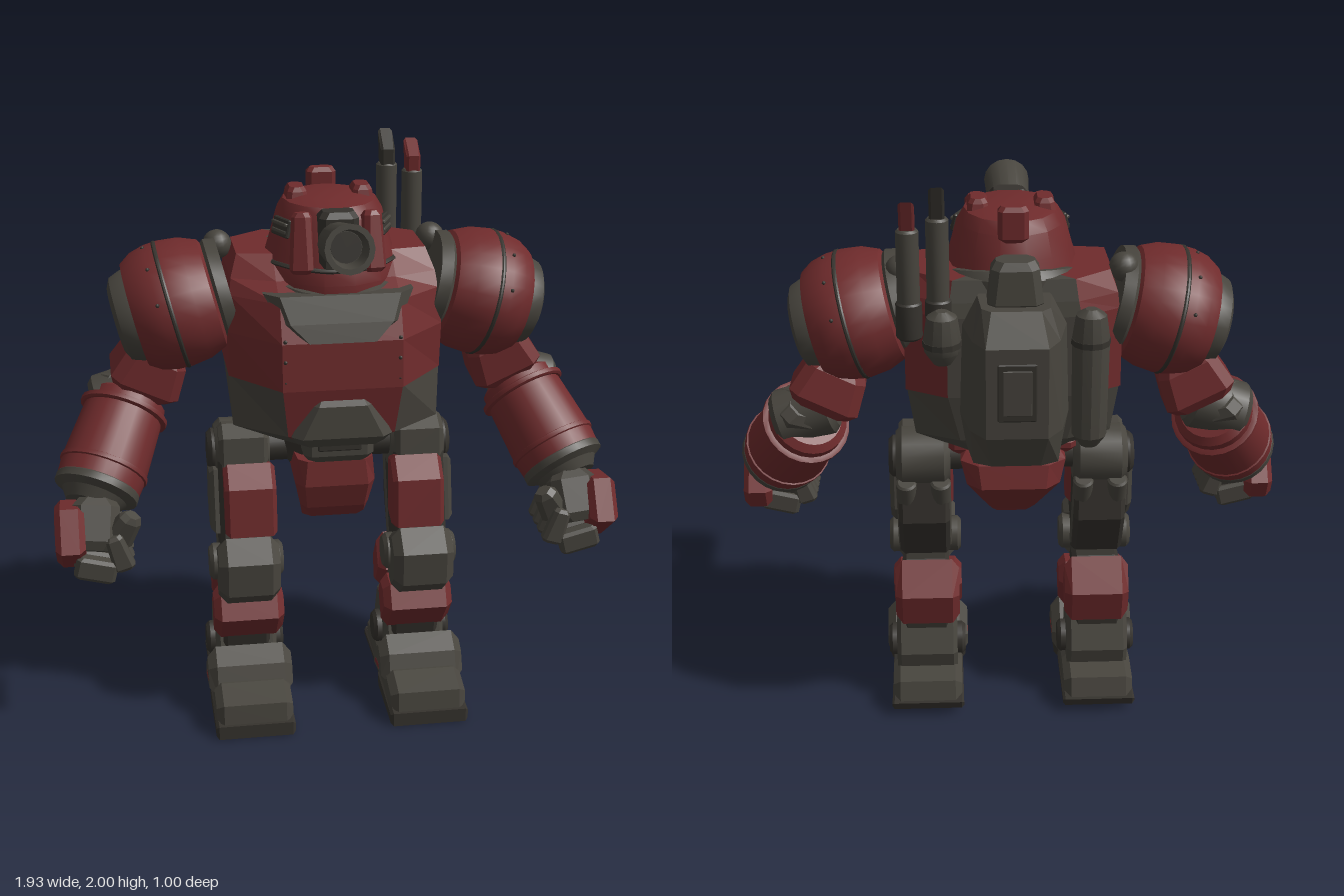
import * as THREE from 'three';
import { toCreasedNormals } from 'three/addons/utils/BufferGeometryUtils.js';

const paint = (name, color) => Object.assign(new THREE.MeshStandardMaterial({ color }), { name });
const red = paint('dull red armour', 0x6f2b2c);
const grey = paint('gunmetal grey', 0x47443d);
const dark = paint('dark joint metal', 0x35322d);

function add(parent, name, geo, mat, pos = [0, 0, 0], rot = [0, 0, 0]) {
  const mesh = new THREE.Mesh(geo, mat);
  mesh.name = name;
  mesh.position.set(...pos);
  mesh.rotation.set(...rot);
  parent.add(mesh);
  return mesh;
}

// Skin closed rings from bottom to top, with capped ends; pick(j) chooses a material slot per side
function loft(rings, pick) {
  const pos = [], geo = new THREE.BufferGeometry(), n = rings[0].length;
  const tri = (...p) => p.forEach(v => pos.push(...v));
  const mid = r => [0, 1, 2].map(k => r.reduce((s, p) => s + p[k], 0) / n);
  const end = rings.length - 1, low = mid(rings[0]), high = mid(rings[end]);
  for (let j = 0; j < n; j++) {
    const k = (j + 1) % n, start = pos.length / 3;
    for (let i = 0; i < end; i++) {
      const [a, b, c, d] = [rings[i][j], rings[i][k], rings[i + 1][k], rings[i + 1][j]];
      tri(a, d, c, a, c, b);
    }
    tri(low, rings[0][j], rings[0][k], high, rings[end][k], rings[end][j]);
    if (pick) geo.addGroup(start, pos.length / 3 - start, pick(j));
  }
  geo.setAttribute('position', new THREE.Float32BufferAttribute(pos, 3));
  geo.computeVertexNormals();
  return geo;
}

// Symmetric ring at height y from [x, z] points on the +x half, front to back
const half = (y, pts) => [
  ...pts.slice().reverse().map(([x, z]) => [x, y, z]),
  ...pts.map(([x, z]) => [-x, y, z])];

// Chamfered box; tx and tz scale its top
function block(w, h, d, c = 0.02, tx = 1, tz = 1) {
  const ring = (y, k, sx, sz) => {
    const x = (w / 2 - k) * sx, z = (d / 2 - k) * sz;
    return half(y, [[x - c, z], [x, z - c], [x, c - z], [x - c, -z]]);
  };
  return loft([ring(-h / 2, c * 0.7, 1, 1), ring(-h / 2 + c, 0, 1, 1),
    ring(h / 2 - c, 0, tx, tz), ring(h / 2, c * 0.7, tx, tz)]);
}

// Round part about y from [radius, y] points
function turn(profile, sx = 1, sz = 1, n = 24) {
  const rings = profile.map(([r, y]) => Array.from({ length: n }, (_, i) => {
    const a = i / n * Math.PI * 2;
    return [r * sx * Math.cos(a), y, r * sz * Math.sin(a)];
  }));
  return toCreasedNormals(loft(rings), 0.5);
}

// Side outline of [z, y] points, spread across x
function slab(pts, x0, x1, c = 0.015) {
  const geo = new THREE.ExtrudeGeometry(new THREE.Shape(pts.map(p => new THREE.Vector2(...p))), {
    depth: x1 - x0 - 2 * c, bevelEnabled: true, bevelSize: c, bevelOffset: -c, bevelThickness: c, bevelSegments: 1 });
  return geo.rotateY(-Math.PI / 2).translate(x1 - c, 0, 0);
}

function along(object, a, b) {
  const from = new THREE.Vector3(...a), dir = new THREE.Vector3(...b).sub(from).normalize();
  object.position.copy(from);
  object.quaternion.setFromUnitVectors(new THREE.Vector3(0, 1, 0), dir);
}

function rod(parent, name, a, b, r, mat) {
  const len = new THREE.Vector3(...a).distanceTo(new THREE.Vector3(...b));
  along(add(parent, name, turn([[r * 0.8, 0], [r, r * 0.2], [r, len - r * 0.2], [r * 0.8, len]], 1, 1, 16), mat), a, b);
}

function rivets(parent, points) {
  for (const p of points) add(parent, 'rivet', new THREE.SphereGeometry(0.007, 6, 4).toNonIndexed(), dark, p);
}

// Bake a +x side group into a copy on the -x side with its corners reordered
function mirrored(group, name) {
  const out = new THREE.Group();
  out.name = name;
  group.updateMatrixWorld(true);
  group.traverse(m => {
    if (!m.isMesh) return;
    const geo = m.geometry.clone().applyMatrix4(m.matrixWorld).scale(-1, 1, 1);
    for (const { array: v } of [geo.attributes.position, geo.attributes.normal])
      for (let i = 0; i < v.length; i += 9)
        for (let k = 3; k < 6; k++) [v[i + k], v[i + k + 3]] = [v[i + k + 3], v[i + k]];
    add(out, m.name, geo, m.material);
  });
  return out;
}

function buildTorso(g) {
  add(g, 'upperChest', loft([
    half(1.27, [[0.2, 0.335], [0.36, 0.14], [0.36, -0.2], [0.22, -0.28]]),
    half(1.43, [[0.2, 0.325], [0.36, 0.16], [0.36, -0.2], [0.22, -0.28]]),
    half(1.55, [[0.2, 0.27], [0.35, 0.14], [0.35, -0.2], [0.22, -0.28]]),
    half(1.6, [[0.2, 0.17], [0.345, 0.11], [0.345, -0.19], [0.21, -0.27]]),
    half(1.67, [[0.2, 0.08], [0.32, 0.06], [0.32, -0.16], [0.2, -0.25]])], j => (j === 7 ? 1 : 0)), [red, grey]);
  add(g, 'lowerChest', loft([
    half(1.02, [[0.1, 0.2], [0.2, 0.1], [0.2, -0.12], [0.1, -0.2]]),
    half(1.1, [[0.18, 0.3], [0.35, 0.16], [0.33, -0.18], [0.18, -0.25]]),
    half(1.275, [[0.2, 0.33], [0.36, 0.13], [0.355, -0.2], [0.22, -0.28]])], j => (j === 3 ? 1 : 0)), [grey, red]);
  add(g, 'bellyPlate', block(0.34, 0.18, 0.12, 0.035, 0.68, 0.9), grey, [0, 1.155, 0.28]);
  add(g, 'bellyHatch', block(0.24, 0.12, 0.12, 0.025), grey, [0, 1.04, 0.2]);
  add(g, 'bellySlot', block(0.15, 0.03, 0.02, 0.004), dark, [0, 1.04, 0.255]);
  add(g, 'collarPlate', loft([
    half(1.43, [[0.11, 0.332], [0.12, 0.3], [0.12, 0.22], [0.1, 0.2]]),
    half(1.49, [[0.17, 0.31], [0.2, 0.285], [0.2, 0.2], [0.1, 0.18]]),
    half(1.575, [[0.2, 0.272], [0.25, 0.22], [0.25, 0.1], [0.1, 0.1]])]), grey);
  add(g, 'neckRing', turn([[0.26, -0.07], [0.275, 0.0], [0.26, 0.03], [0.22, 0.035]], 0.93, 1.04), grey, [0, 1.605, 0.0], [0.24, 0, 0]);
  for (const s of [-1, 1]) rivets(g, [1.3, 1.37, 1.44].map(y => [s * 0.19, y, 0.328]));
}

function buildHead(g) {
  add(g, 'turretHead', turn([[0.24, 1.53], [0.245, 1.6], [0.235, 1.65], [0.213, 1.72], [0.19, 1.8], [0.165, 1.84], [0.11, 1.855]], 0.95, 1.08, 14), red);
  add(g, 'browBand', turn([[0.236, 1.64], [0.244, 1.648], [0.236, 1.656]], 0.95, 1.08, 14), dark);
  for (const s of [-1, 1]) {
    add(g, 'roofBox', block(0.08, 0.08, 0.13, 0.015, 0.8, 0.8), red, [s * 0.11, 1.84, -0.01]);
    add(g, 'cheekPlate', block(0.08, 0.2, 0.08, 0.015, 0.8, 0.7), red, [s * 0.115, 1.73, 0.185], [-0.15, s * 0.3, 0]);
    add(g, 'sideVent', block(0.015, 0.06, 0.1, 0.004), dark, [s * 0.171, 1.765, 0.1], [0, s * -0.42, s * 0.25]);
    for (const y of [1.752, 1.778])
      add(g, 'ventSlat', block(0.015, 0.012, 0.09, 0.003), grey, [s * 0.177, y, 0.1], [0, s * -0.42, s * 0.25]);
  }
  add(g, 'rearHatch', block(0.1, 0.12, 0.06, 0.015), red, [0, 1.84, -0.19]);
  add(g, 'gunMantlet', block(0.13, 0.22, 0.1, 0.02), dark, [0, 1.73, 0.2]);
  const gun = new THREE.Group();
  gun.name = 'cannon';
  add(gun, 'barrel', turn([[0.062, 0], [0.064, 0.04], [0.07, 0.05], [0.08, 0.28], [0.062, 0.28], [0.052, 0.2]], 1, 1, 16), grey);
  add(gun, 'bore', turn([[0.05, 0.19], [0.05, 0.205]], 1, 1, 16), dark);
  along(gun, [-0.005, 1.735, 0.21], [-0.005, 1.785, 0.49]);
  g.add(gun);
}

function buildBack(g) {
  add(g, 'backpack', loft([
    half(1.09, [[0.14, -0.22], [0.16, -0.26], [0.14, -0.4], [0.08, -0.43]]),
    half(1.22, [[0.16, -0.22], [0.18, -0.28], [0.15, -0.43], [0.1, -0.5]]),
    half(1.53, [[0.16, -0.22], [0.17, -0.28], [0.14, -0.43], [0.1, -0.5]]),
    half(1.63, [[0.1, -0.22], [0.12, -0.28], [0.11, -0.4], [0.08, -0.43]])]), grey);
  add(g, 'backpackPanel', block(0.13, 0.2, 0.012, 0.005), dark, [0, 1.38, -0.497]);
  add(g, 'backpackCover', block(0.1, 0.16, 0.014, 0.005), grey, [0, 1.38, -0.498]);
  add(g, 'backpackTop', block(0.18, 0.16, 0.13, 0.025, 0.85, 0.85), grey, [0, 1.69, -0.33]);
  // Long tank on one side, short pod behind the exhausts on the other
  for (const [x, y] of [[-0.245, 1.12], [0.235, 1.42]]) {
    add(g, 'sideTank', turn([[0.03, y], [0.058, y + 0.04], [0.062, 1.5], [0.05, 1.58], [0.02, 1.6]], 1, 1, 12), grey, [x, 0, -0.335]);
    add(g, 'tankBand', turn([[0.064, 0], [0.064, 0.02]], 1, 1, 12), dark, [x, 1.48, -0.335]);
  }
  // Twin exhausts with slanted open tips
  [[0.245, -0.27, 1.89, 2.0, dark], [0.34, -0.29, 1.86, 1.96, red]].forEach(([x, z, y, top, mat]) => {
    rod(g, 'exhaustPipe', [x, 1.5, z], [x, y, z], 0.037, grey);
    rod(g, 'exhaustCollar', [x, 1.49, z], [x, 1.62, z], 0.043, dark);
    add(g, 'exhaustTip', slab([[z + 0.03, y - 0.01], [z + 0.035, y + 0.05], [z - 0.045, top], [z - 0.02, y - 0.01]], x - 0.025, x + 0.025, 0.008), mat);
  });
}

function buildPelvis(g) {
  add(g, 'waist', turn([[0.15, 0.9], [0.17, 1.0], [0.18, 1.08]], 1, 1, 16), dark);
  rod(g, 'hipAxle', [-0.3, 0.95, -0.03], [0.3, 0.95, -0.03], 0.06, dark);
  add(g, 'groinArmour', loft([
    half(0.73, [[0.08, 0.13], [0.11, 0.1], [0.07, -0.04], [0.05, -0.06]]),
    half(0.78, [[0.1, 0.17], [0.12, 0.13], [0.09, -0.08], [0.07, -0.1]]),
    half(0.87, [[0.11, 0.2], [0.14, 0.15], [0.13, -0.12], [0.1, -0.15]]),
    half(0.96, [[0.1, 0.19], [0.13, 0.16], [0.15, -0.15], [0.1, -0.2]])]), red);
  add(g, 'rearFlap', loft([
    half(0.77, [[0.05, -0.04], [0.08, -0.06], [0.08, -0.1], [0.06, -0.12]]),
    half(0.92, [[0.1, -0.08], [0.16, -0.12], [0.16, -0.22], [0.11, -0.27]]),
    half(1.0, [[0.1, -0.1], [0.18, -0.12], [0.18, -0.2], [0.12, -0.25]]),
    half(1.02, [[0.1, -0.1], [0.16, -0.12], [0.16, -0.16], [0.1, -0.2]])]), red);
  add(g, 'waistBar', block(0.44, 0.06, 0.12, 0.02), red, [0, 1.03, -0.1]);
}

function buildArm(g) {
  const shoulder = new THREE.Group();
  shoulder.name = 'shoulder';
  shoulder.position.set(0.35, 1.525, -0.03);
  shoulder.rotation.z = -0.25;
  g.add(shoulder);
  const wheel = (name, p, mat) => add(shoulder, name, turn(p, 0.86, 1, 28).rotateZ(-Math.PI / 2), mat);
  wheel('shoulderCollar', [[0.2, -0.01], [0.21, 0.03], [0.19, 0.05]], grey);
  wheel('pauldron', [[0.18, 0.03], [0.215, 0.05], [0.243, 0.11], [0.253, 0.18], [0.25, 0.23], [0.235, 0.28], [0.205, 0.32], [0.185, 0.32], [0.17, 0.28]], red);
  wheel('pauldronBand', [[0.253, 0.185], [0.256, 0.19], [0.256, 0.196], [0.252, 0.2]], dark);
  wheel('shoulderCup', [[0.182, 0.27], [0.182, 0.33], [0.165, 0.37], [0.13, 0.385], [0.115, 0.35]], grey);
  wheel('shoulderJoint', [[0.112, 0.33], [0.112, 0.357]], dark);
  rivets(shoulder, [-1.2, -0.6, 0, 0.6, 1.2].map(a => [0.23, 0.215 * Math.cos(a), 0.25 * Math.sin(a)]));
  add(g, 'shoulderBall', new THREE.SphereGeometry(0.05, 16, 12).toNonIndexed(), grey, [0.37, 1.66, -0.11]);
  rod(g, 'upperArmCore', [0.56, 1.42, -0.06], [0.69, 1.12, -0.08], 0.085, dark);
  add(g, 'upperArmPlate', block(0.25, 0.18, 0.25, 0.035, 0.85, 0.9), red, [0.615, 1.25, -0.075], [0.1, 0, 0.45]);
  rod(g, 'elbow', [0.61, 1.17, -0.08], [0.81, 1.11, -0.08], 0.1, grey);
  add(g, 'elbowGuard', block(0.14, 0.19, 0.17, 0.03), grey, [0.745, 1.12, -0.08], [-0.5, 0, 0.4]);
  const forearm = new THREE.Group();
  forearm.name = 'forearm';
  add(forearm, 'forearmBarrel', turn([[0.11, 0], [0.135, 0.02], [0.14, 0.1], [0.15, 0.28], [0.145, 0.345]]), red);
  for (const [y, mat] of [[0.05, red], [0.27, red]])
    add(forearm, 'forearmBand', turn([[0.142, y], [0.155, y + 0.005], [0.155, y + 0.02], [0.146, y + 0.025]]), mat);
  add(forearm, 'wristRing', turn([[0.14, 0.335], [0.147, 0.345], [0.147, 0.37], [0.115, 0.385], [0.09, 0.42]]), grey);
  along(forearm, [0.69, 1.13, -0.09], [0.83, 0.86, 0.15]);
  g.add(forearm);
  add(g, 'palm', block(0.16, 0.18, 0.2, 0.03), grey, [0.83, 0.78, 0.21], [-0.5, 0, 0.1]);
  add(g, 'handPlate', slab([[0.37, 0.75], [0.29, 0.88], [0.16, 0.86], [0.07, 0.75], [0.1, 0.68], [0.23, 0.64]], 0.865, 0.965, 0.02), red);
  for (let i = 0; i < 4; i++) {
    const z = 0.14 + i * 0.058, y = 0.73 - i * 0.006;
    add(g, 'fingerKnuckle', block(0.14, 0.08, 0.052, 0.012), grey, [0.835, y - 0.045, z], [0, 0, 0.25]);
    add(g, 'fingerTip', block(0.075, 0.13, 0.048, 0.012, 0.8), grey, [0.755, y + 0.01, z], [0, 0, -0.3]);
  }
  add(g, 'thumb', block(0.1, 0.13, 0.08, 0.02, 0.8, 0.8), grey, [0.735, 0.795, 0.28], [0.3, 0, 0.5]);
}

function buildLeg(g) {
  rod(g, 'hipDrum', [0.215, 0.94, -0.03], [0.405, 0.94, -0.03], 0.11, grey);
  rod(g, 'hipCap', [0.39, 0.94, -0.03], [0.43, 0.94, -0.03], 0.075, dark);
  add(g, 'hipCover', slab([[0.1, 0.92], [0.09, 1.02], [0.03, 1.055], [-0.06, 1.04], [-0.06, 0.92]], 0.225, 0.395), grey);
  add(g, 'thighCore', slab([[0.07, 0.95], [0.17, 0.6], [0.08, 0.49], [-0.04, 0.55], [-0.13, 0.72], [-0.11, 0.92]], 0.22, 0.4), dark);
  add(g, 'thighPlate', slab([[0.1, 0.93], [0.17, 0.86], [0.19, 0.69], [0.13, 0.67], [0.05, 0.7], [0.03, 0.91]], 0.205, 0.385), red);
  add(g, 'thighSidePlate', slab([[0.07, 0.9], [0.12, 0.68], [0.02, 0.66], [-0.06, 0.74], [-0.06, 0.9]], 0.375, 0.43), grey);
  for (const x of [0.25, 0.37]) {
    rod(g, 'thighPiston', [x, 0.88, -0.12], [x, 0.57, 0.0], 0.036, grey);
    rod(g, 'shinPiston', [x, 0.46, 0.02], [x, 0.16, -0.12], 0.032, grey);
  }
  add(g, 'kneeGuard', slab([[0.17, 0.68], [0.25, 0.61], [0.245, 0.49], [0.17, 0.43], [0.1, 0.45], [0.08, 0.64]], 0.2, 0.415, 0.03), grey);
  rod(g, 'kneeAxle', [0.18, 0.56, 0.09], [0.44, 0.56, 0.09], 0.065, grey);
  add(g, 'shinCore', slab([[0.14, 0.5], [0.07, 0.2], [0.02, 0.1], [-0.12, 0.1], [-0.14, 0.36], [-0.03, 0.52]], 0.225, 0.395), dark);
  add(g, 'shinPlate', slab([[0.05, 0.45], [0.13, 0.44], [0.175, 0.36], [0.08, 0.25], [0.0, 0.38]], 0.18, 0.43, 0.025), red);
  add(g, 'calfPlate', slab([[-0.01, 0.43], [-0.09, 0.55], [-0.175, 0.44], [-0.15, 0.32], [-0.08, 0.33]], 0.19, 0.42, 0.025), red);
  rod(g, 'ankleAxle', [0.17, 0.19, -0.04], [0.45, 0.19, -0.04], 0.06, dark);
  add(g, 'ankleGuard', slab([[0.03, 0.32], [0.07, 0.18], [-0.0, 0.08], [-0.14, 0.08], [-0.17, 0.2], [-0.12, 0.33]], 0.2, 0.42), grey);
  add(g, 'instep', slab([[0.14, 0.245], [0.21, 0.2], [0.25, 0.1], [0.04, 0.06], [0.03, 0.15]], 0.16, 0.46, 0.03), grey);
  for (const x of [0.159, 0.453])
    add(g, 'instepSidePlate', slab([[0.16, 0.14], [0.1, 0.135], [0.08, 0.11], [0.17, 0.12]], x, x + 0.008, 0.002), red);
  add(g, 'toe', slab([[0.36, 0.04], [0.35, 0.12], [0.24, 0.15], [0.07, 0.14], [0.07, 0.04]], 0.175, 0.445, 0.025), grey);
  add(g, 'toeSole', slab([[0.37, 0], [0.37, 0.05], [0.08, 0.07], [0.1, 0.01]], 0.17, 0.45, 0.01), dark);
  add(g, 'heel', slab([[0.05, 0.04], [0.04, 0.13], [-0.1, 0.15], [-0.24, 0.13], [-0.26, 0.06], [-0.22, 0.04]], 0.185, 0.435, 0.025), grey);
  add(g, 'heelSole', slab([[0.06, 0.03], [0.06, 0.06], [-0.275, 0.06], [-0.265, 0.03]], 0.18, 0.44, 0.008), dark);
}

export function createModel() {
  const model = new THREE.Group();
  model.name = 'walkingRobot';
  for (const [name, build] of [['torso', buildTorso], ['head', buildHead], ['back', buildBack], ['pelvis', buildPelvis], ['Arm', buildArm], ['Leg', buildLeg]]) {
    const limb = build === buildArm || build === buildLeg, part = new THREE.Group();
    part.name = limb ? 'left' + name : name;
    build(part);
    model.add(part);
    if (limb) model.add(mirrored(part, 'right' + name));
  }
  return model;
}
